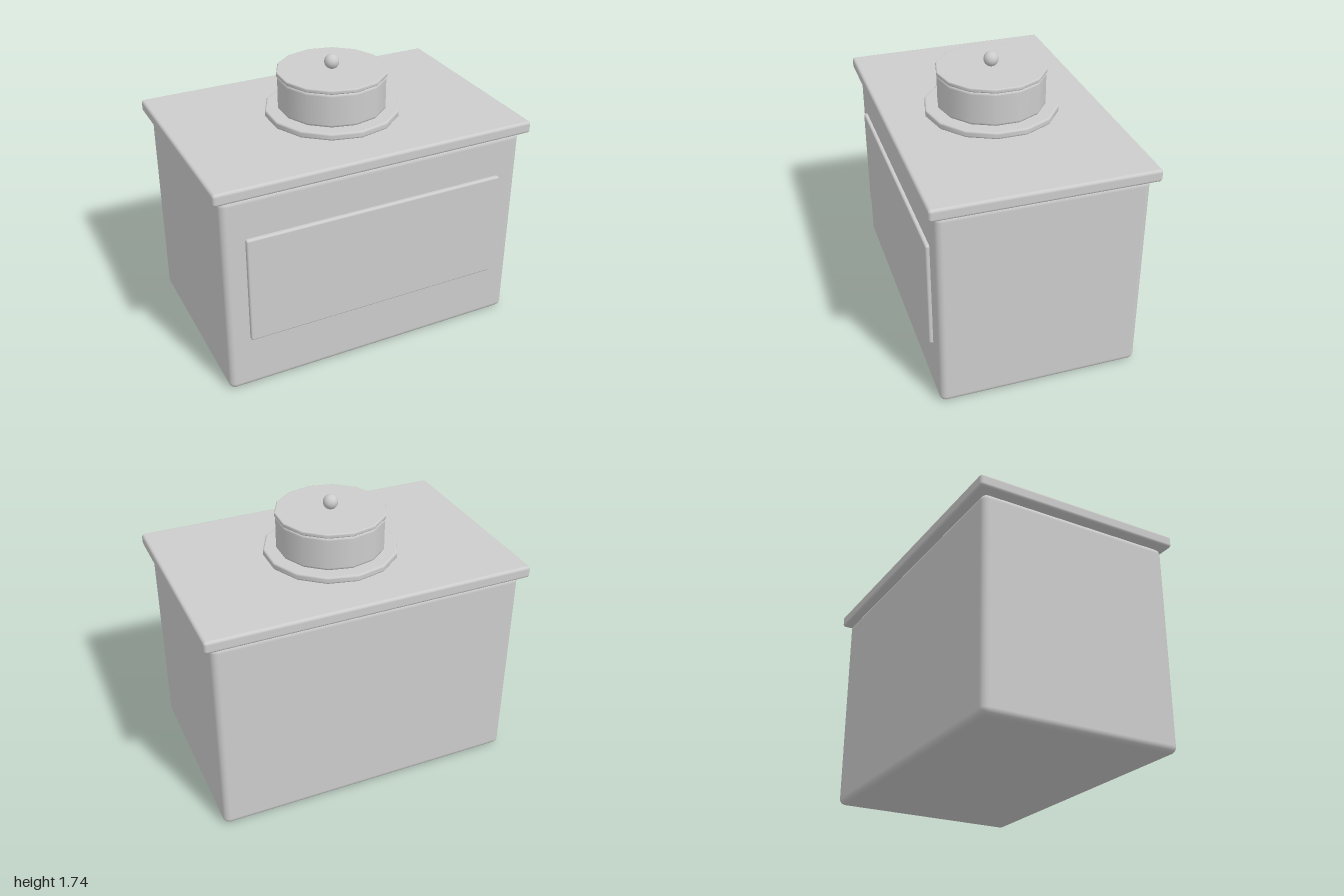
import * as THREE from 'three';
import { RoundedBoxGeometry } from 'three/addons/geometries/RoundedBoxGeometry.js';

const SIDES = 14;

export function createModel() {
  const model = new THREE.Group();
  model.name = 'boxWithDrum';

  const grey = new THREE.MeshStandardMaterial({ color: 0xcccccc });
  grey.name = 'lightGrey';

  function add(name, geometry, x, y, z) {
    const mesh = new THREE.Mesh(geometry, grey);
    mesh.name = name;
    mesh.position.set(x, y, z);
    model.add(mesh);
  }

  // Box with softened edges, placed by its bottom and top heights
  function slab(name, width, bottom, top, depth, radius, z = 0) {
    const geometry = new RoundedBoxGeometry(width, top - bottom, depth, 4, radius);
    add(name, geometry, 0, (bottom + top) / 2, z);
  }

  // Fourteen-sided disc with rounded rims; extra points keep the flats flat
  function disc(name, radius, bottom, top, bevel) {
    const e = 0.003;
    const profile = [[0, bottom], [radius - bevel - e, bottom]];
    for (let i = 0; i <= 3; i++) {
      const a = (i / 3) * Math.PI / 2;
      profile.push([radius - bevel + bevel * Math.sin(a), bottom + bevel - bevel * Math.cos(a)]);
    }
    profile.push([radius, bottom + bevel + e], [radius, top - bevel - e]);
    for (let i = 0; i <= 3; i++) {
      const a = (i / 3) * Math.PI / 2;
      profile.push([radius - bevel + bevel * Math.cos(a), top - bevel + bevel * Math.sin(a)]);
    }
    profile.push([radius - bevel - e, top], [0, top]);
    const points = profile.map(([x, y]) => new THREE.Vector2(x, y));
    add(name, new THREE.LatheGeometry(points, SIDES), 0, 0, 0);
  }

  // Cabinet
  slab('body', 1.912, 0, 1.292, 1.232, 0.04);
  slab('topSlab', 2, 1.295, 1.37, 1.315, 0.018);
  slab('frontPanel', 1.64, 0.345, 1.03, 0.05, 0.012, 0.614);

  // Drum on the top
  disc('baseRing', 0.41, 1.37, 1.412, 0.01);
  disc('drum', 0.33, 1.412, 1.622, 0.014);
  disc('drumLid', 0.335, 1.622, 1.648, 0.007);
  add('knob', new THREE.SphereGeometry(0.045, 20, 14), 0, 1.69, 0);

  return model;
}
